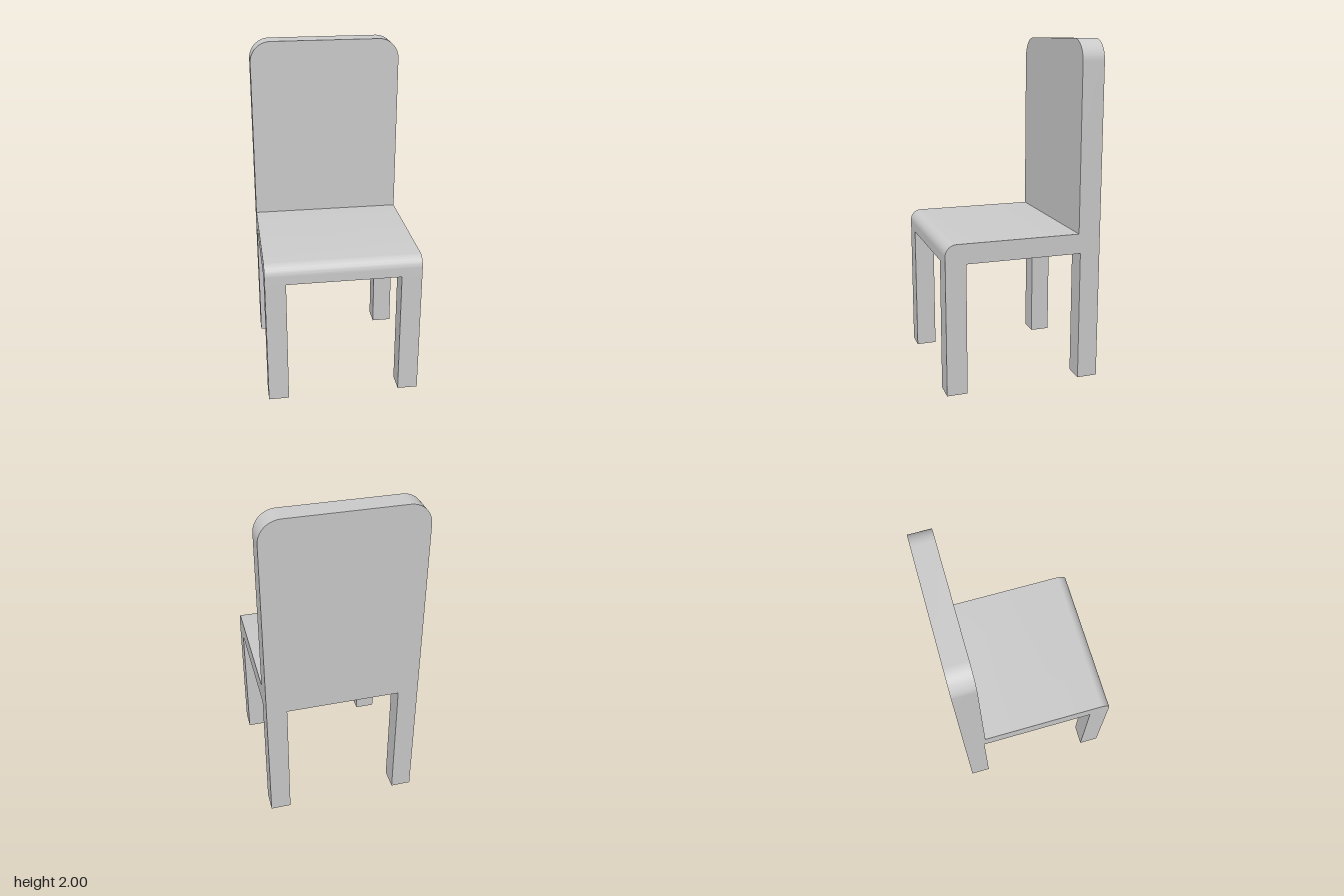
import * as THREE from 'three';
import { toCreasedNormals } from 'three/addons/utils/BufferGeometryUtils.js';

const HALF_W = 0.458, FRONT = 0.465, BACK = -0.465;
const SEAT_BOTTOM = 0.775, SEAT_TOP = 0.893, BACK_FACE = -0.333, TOP = 2;
const LEG = 0.121;

const material = new THREE.MeshStandardMaterial({ color: 0xcccccc });

function addMesh(group, name, geometry) {
  const mesh = new THREE.Mesh(geometry, material);
  mesh.name = name;
  group.add(mesh);
  return mesh;
}

// Extrude a profile, centred along its depth, with smooth rounded corners
function slab(shape, depth) {
  const geometry = new THREE.ExtrudeGeometry(shape, { depth, bevelEnabled: false, curveSegments: 16 });
  geometry.translate(0, 0, -depth / 2);
  return toCreasedNormals(geometry, Math.PI / 6);
}

export function createModel() {
  const chair = new THREE.Group();
  chair.name = 'chair';

  // Seat: side profile with a rounded front edge, extruded across the width
  const r = 0.065;
  const seatProfile = new THREE.Shape();
  seatProfile.moveTo(BACK_FACE, SEAT_BOTTOM);
  seatProfile.lineTo(FRONT, SEAT_BOTTOM);
  seatProfile.lineTo(FRONT, SEAT_TOP - r);
  seatProfile.absarc(FRONT - r, SEAT_TOP - r, r, 0, Math.PI / 2, false);
  seatProfile.lineTo(BACK_FACE, SEAT_TOP);
  seatProfile.closePath();
  addMesh(chair, 'seat', slab(seatProfile, HALF_W * 2).rotateY(-Math.PI / 2));

  // Backrest: upright panel with rounded top corners
  const R = 0.125;
  const backProfile = new THREE.Shape();
  backProfile.moveTo(-HALF_W, SEAT_BOTTOM);
  backProfile.lineTo(HALF_W, SEAT_BOTTOM);
  backProfile.lineTo(HALF_W, TOP - R);
  backProfile.absarc(HALF_W - R, TOP - R, R, 0, Math.PI / 2, false);
  backProfile.absarc(-HALF_W + R, TOP - R, R, Math.PI / 2, Math.PI, false);
  backProfile.closePath();
  const backrest = addMesh(chair, 'backrest', slab(backProfile, BACK_FACE - BACK));
  backrest.position.z = (BACK_FACE + BACK) / 2;

  // Four square legs, flush with the outer corners
  const legGeometry = new THREE.BoxGeometry(LEG, SEAT_BOTTOM, LEG);
  for (const [side, sx] of [['Left', 1], ['Right', -1]]) {
    for (const [end, z] of [['front', FRONT - LEG / 2], ['back', BACK + LEG / 2]]) {
      const leg = addMesh(chair, `${end}${side}Leg`, legGeometry);
      leg.position.set(sx * (HALF_W - LEG / 2), SEAT_BOTTOM / 2, z);
    }
  }

  return chair;
}
